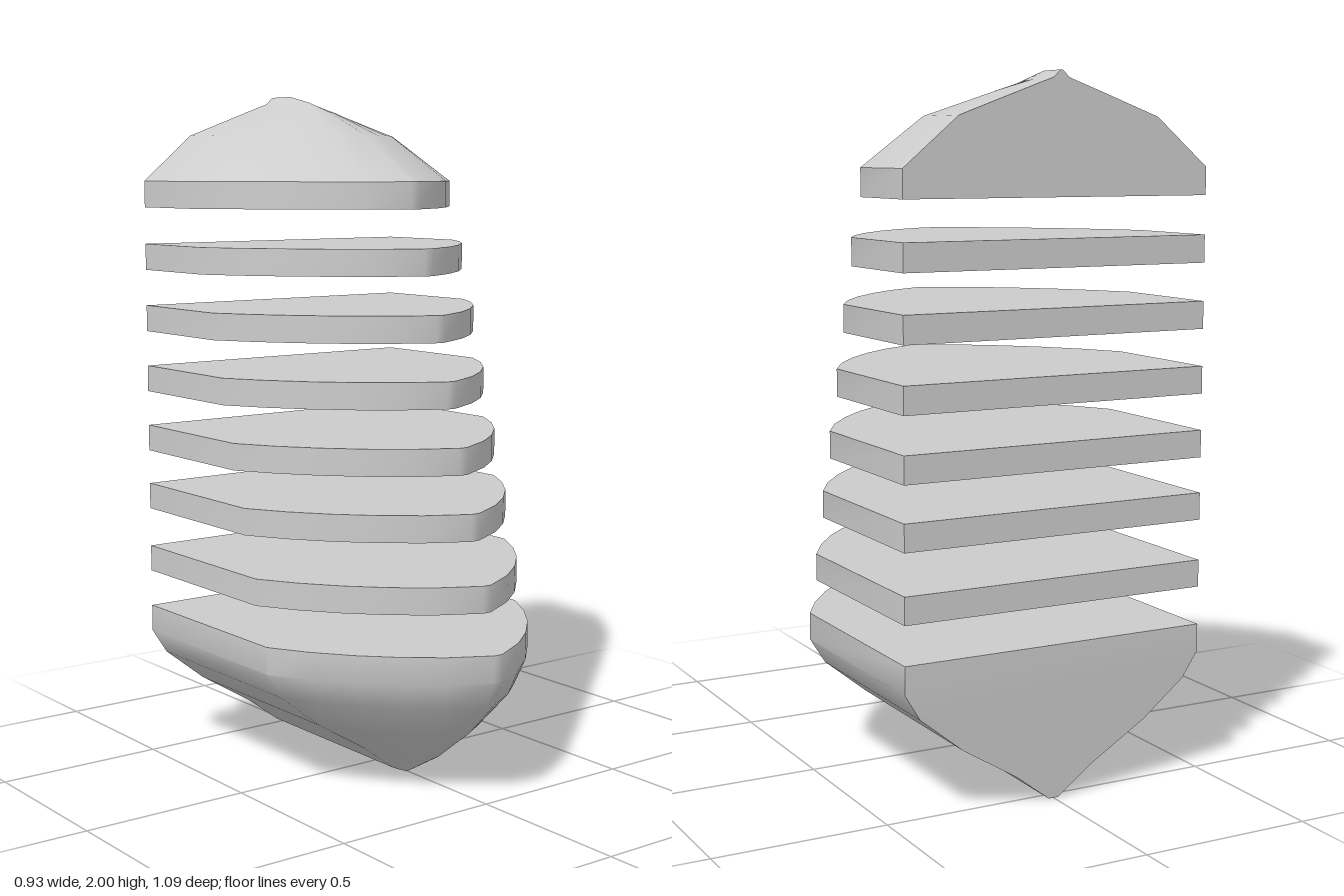
import * as THREE from 'three';
import { toCreasedNormals } from 'three/addons/utils/BufferGeometryUtils.js';

const BACK = -0.545;
// Bow outline from shoulder to tip: [fraction of half width, fraction of shoulder-to-tip length]
const BOW = [[1, 0], [0.86, 0.25], [0.69, 0.48], [0.49, 0.69], [0.28, 0.86], [0.03, 1]];

// Outline at one level: rounded point in front, flat sides and a flat back
function section({ y, w, shoulder, tip, back = BACK }) {
  const half = BOW.map(([fx, fz]) => [fx * w, y, shoulder + fz * (tip - shoulder)]);
  const other = half.map(([x, , z]) => [-x, y, z]).reverse();
  return [...half, ...other, [-w, y, back], [w, y, back]];
}

// Skin the levels from bottom to top and close both ends
function loft(name, levels, material) {
  const rings = levels.map(section);
  const n = rings[0].length;
  const index = [];
  for (let r = 0; r < rings.length - 1; r++) {
    for (let i = 0; i < n; i++) {
      const a = r * n + i, b = r * n + (i + 1) % n;
      index.push(a, a + n, b, b, a + n, b + n);
    }
  }
  const top = (rings.length - 1) * n;
  for (let i = 1; i < n - 1; i++) {
    index.push(0, i, i + 1);
    index.push(top, top + i + 1, top + i);
  }
  const geometry = new THREE.BufferGeometry();
  geometry.setAttribute('position', new THREE.Float32BufferAttribute(rings.flat(2), 3));
  geometry.setIndex(index);
  const mesh = new THREE.Mesh(toCreasedNormals(geometry, 0.6), material);
  mesh.name = name;
  return mesh;
}

export function createModel() {
  const group = new THREE.Group();
  group.name = 'slattedShell';
  const material = new THREE.MeshStandardMaterial({ color: 0xcccccc });
  const W = 0.467;

  // Keeled base
  group.add(loft('base', [
    { y: 0, w: 0.015, shoulder: 0.09, tip: 0.14, back: -0.53 },
    { y: 0.08, w: 0.12, shoulder: 0.09, tip: 0.28, back: -0.533 },
    { y: 0.185, w: 0.29, shoulder: 0.09, tip: 0.415, back: -0.537 },
    { y: 0.29, w: 0.42, shoulder: 0.09, tip: 0.515, back: -0.541 },
    { y: 0.365, w: W, shoulder: 0.09, tip: 0.548 },
    { y: 0.445, w: W, shoulder: 0.09, tip: 0.548 },
  ], material));

  // Six separate slats, each shorter than the one below
  const slats = [[0.555, 0.497], [0.75, 0.443], [0.93, 0.39], [1.112, 0.337], [1.295, 0.288], [1.48, 0.232]];
  slats.forEach(([y, tip], i) => {
    const level = { w: W, shoulder: tip - 0.46, tip };
    group.add(loft(`slat${i + 1}`, [{ y, ...level }, { y: y + 0.078, ...level }], material));
  });

  // Domed cap rising to a small ridge at the back
  group.add(loft('cap', [
    { y: 1.667, w: W, shoulder: -0.29, tip: 0.172 },
    { y: 1.745, w: W, shoulder: -0.29, tip: 0.172 },
    { y: 1.88, w: 0.305, shoulder: -0.34, tip: -0.08 },
    { y: 1.95, w: 0.11, shoulder: -0.4, tip: -0.25 },
    { y: 1.98, w: 0.025, shoulder: -0.45, tip: -0.35 },
    { y: 2, w: 0.003, shoulder: -0.49, tip: -0.45 },
  ], material));

  return group;
}
